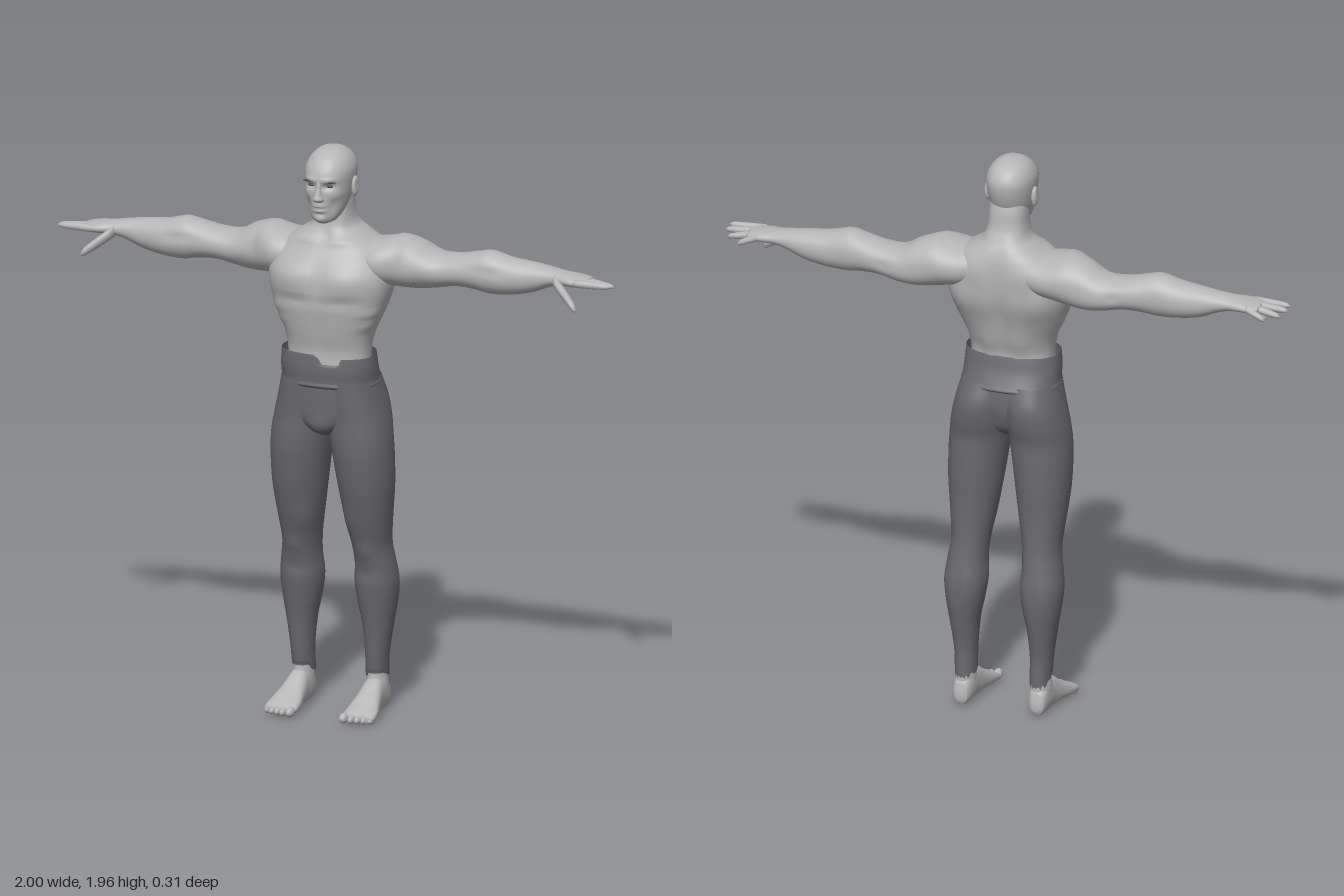
import * as THREE from 'three';

const skin = new THREE.MeshStandardMaterial({ color: 0xb6b6b6, name: 'skin' });
const cloth = new THREE.MeshStandardMaterial({ color: 0x69686d, name: 'trouser cloth', side: THREE.DoubleSide });
const dark = new THREE.MeshStandardMaterial({ color: 0x4a4a4a, name: 'eye and brow' });

// Smooth interpolation of key rows; column 0 is the position along the axis
function sample(keys, t) {
  let i = 0;
  while (i < keys.length - 2 && t > keys[i + 1][0]) i++;
  const a = keys[i], b = keys[i + 1], p = keys[i - 1] || a, n = keys[i + 2] || b;
  const h = b[0] - a[0], s = (t - a[0]) / h;
  return [1, 2, 3, 4].map((c) => {
    const ma = ((b[c] - p[c]) / (b[0] - p[0])) * h, mb = ((n[c] - a[c]) / (n[0] - a[0])) * h;
    return (2 * s ** 3 - 3 * s * s + 1) * a[c] + (s ** 3 - 2 * s * s + s) * ma
      + (3 * s * s - 2 * s ** 3) * b[c] + (s ** 3 - s * s) * mb;
  });
}

// Skin rounded sections along an axis. Keys: [t, uMin, uMax, vMin, vMax],
// where (u, v) is (z, x) for axis y, (y, z) for axis x, (x, y) for axis z.
function loft(axis, keys, { seg = 32, per = 4, pow = 1, caps = true, warp } = {}) {
  const ts = [];
  for (let i = 0; i < keys.length - 1; i++)
    for (let k = 0; k < per; k++) ts.push(keys[i][0] + ((keys[i + 1][0] - keys[i][0]) * k) / per);
  ts.push(keys[keys.length - 1][0]);
  const w = 'xyz'.indexOf(axis), pos = [], idx = [];
  const put = (u, v, t) => {
    const p = [0, 0, 0];
    p[(w + 1) % 3] = u; p[(w + 2) % 3] = v; p[w] = t;
    if (warp) warp(p);
    pos.push(...p);
  };
  const round = (c) => Math.sign(c) * Math.abs(c) ** pow;
  ts.forEach((t) => {
    const [a, b, c, d] = sample(keys, t);
    for (let j = 0; j < seg; j++) {
      const th = (j / seg) * Math.PI * 2;
      put((a + b) / 2 + ((b - a) / 2) * round(Math.cos(th)), (c + d) / 2 + ((d - c) / 2) * round(Math.sin(th)), t);
    }
  });
  for (let i = 0; i < ts.length - 1; i++)
    for (let j = 0; j < seg; j++) {
      const a = i * seg + j, b = i * seg + ((j + 1) % seg);
      idx.push(a, b, b + seg, a, b + seg, a + seg);
    }
  if (caps) for (const end of [0, ts.length - 1]) {
    const [a, b, c, d] = sample(keys, ts[end]), m = pos.length / 3;
    put((a + b) / 2, (c + d) / 2, ts[end]);
    for (let j = 0; j < seg; j++) {
      const p = end * seg + j, q = end * seg + ((j + 1) % seg);
      idx.push(...(end ? [m, p, q] : [m, q, p]));
    }
  }
  const g = new THREE.BufferGeometry();
  g.setAttribute('position', new THREE.Float32BufferAttribute(pos, 3));
  g.setIndex(idx);
  g.computeVertexNormals();
  return g;
}

// Push muscle bulges out or hollows in, mirrored in x. Bump: [x, y, z, rx, ry, rz, amount]
function sculpt(g, bumps) {
  const p = g.attributes.position, n = g.attributes.normal;
  for (let i = 0; i < p.count; i++) {
    const x = p.getX(i), y = p.getY(i), z = p.getZ(i);
    let s = 0;
    for (const [bx, by, bz, rx, ry, rz, amt] of bumps)
      s += amt * Math.exp(-(((Math.abs(x) - bx) / rx) ** 2) - ((y - by) / ry) ** 2 - ((z - bz) / rz) ** 2);
    p.setXYZ(i, x + n.getX(i) * s, y + n.getY(i) * s, z + n.getZ(i) * s);
  }
  g.computeVertexNormals();
  return g;
}

function mirrored(g) {
  const m = g.clone().scale(-1, 1, 1), ix = m.index.array;
  for (let i = 0; i < ix.length; i += 3) [ix[i], ix[i + 1]] = [ix[i + 1], ix[i]];
  m.computeVertexNormals();
  return m;
}

function ball(x, y, z, rx, ry, rz) {
  return new THREE.SphereGeometry(1, 20, 14).scale(rx, ry, rz).translate(x, y, z);
}

// Finger tapering from point a to point b along x, with a rounded tip
function finger(a, b, r) {
  const keys = [[0, 1], [0.4, 0.95], [0.8, 0.8], [0.93, 0.6], [1, 0.15]].map(([s, k]) => {
    const [x, y, z] = a.map((v, i) => v + (b[i] - v) * s);
    return [x, y - r * k, y + r * k, z - r * k, z + r * k];
  });
  return loft('x', keys, { seg: 12, per: 3 });
}

export function createModel() {
  const model = new THREE.Group();
  const add = (name, g, mat) => {
    const m = new THREE.Mesh(g, mat);
    m.name = name;
    model.add(m);
  };
  const pair = (name, g, mat) => {
    add('left' + name, g, mat);
    add('right' + name, mirrored(g), mat);
  };

  // Torso and neck
  const sym = (rows) => rows.map(([y, z0, z1, x]) => [y, z0, z1, -x, x]);
  add('torso', sculpt(loft('y', sym([
    [1.2, -0.075, 0.115, 0.142], [1.27, -0.07, 0.112, 0.143], [1.33, -0.09, 0.125, 0.155], [1.4, -0.115, 0.138, 0.185],
    [1.47, -0.14, 0.147, 0.208], [1.53, -0.148, 0.142, 0.215], [1.58, -0.148, 0.12, 0.2], [1.63, -0.142, 0.09, 0.165],
    [1.665, -0.13, 0.068, 0.112], [1.69, -0.115, 0.053, 0.08], [1.73, -0.095, 0.047, 0.067], [1.79, -0.085, 0.045, 0.063],
    [1.84, -0.07, 0.04, 0.055]]), { seg: 64, per: 5, pow: 0.82 }), [
    [0.095, 1.53, 0.14, 0.065, 0.05, 0.07, 0.012], [0.09, 1.45, 0.15, 0.09, 0.014, 0.05, -0.007],
    [0, 1.52, 0.15, 0.014, 0.08, 0.05, -0.008], [0, 1.34, 0.13, 0.012, 0.08, 0.04, -0.005],
    [0, 1.45, -0.14, 0.02, 0.17, 0.05, -0.014], [0.14, 1.48, -0.13, 0.05, 0.08, 0.07, 0.01],
    [0.1, 1.59, -0.15, 0.05, 0.04, 0.05, 0.008], [0.05, 1.3, -0.08, 0.03, 0.07, 0.04, 0.007],
    [0.17, 1.41, 0.09, 0.04, 0.012, 0.06, 0.006], [0.165, 1.365, 0.09, 0.04, 0.012, 0.06, 0.006],
    [0.06, 1.645, 0.07, 0.06, 0.012, 0.05, 0.007], [0, 1.66, 0.07, 0.018, 0.018, 0.04, -0.01],
    [0.05, 1.73, 0.03, 0.015, 0.06, 0.03, 0.004]]), skin);

  // Head with brow, sockets, cheeks, mouth and chin
  add('head', sculpt(loft('y', sym([
    [1.713, 0.055, 0.094, 0.018], [1.722, 0.02, 0.106, 0.038], [1.75, -0.03, 0.115, 0.056], [1.79, -0.07, 0.119, 0.068],
    [1.83, -0.09, 0.121, 0.076], [1.87, -0.1, 0.122, 0.081], [1.9, -0.098, 0.113, 0.079], [1.93, -0.08, 0.09, 0.065],
    [1.95, -0.05, 0.058, 0.043], [1.957, -0.027, 0.034, 0.026], [1.96, 0.0, 0.008, 0.004]]), { seg: 72, per: 7, pow: 0.92 }), [
    [0.032, 1.845, 0.115, 0.018, 0.011, 0.04, -0.012], [0.03, 1.867, 0.12, 0.025, 0.008, 0.04, 0.005],
    [0.05, 1.815, 0.09, 0.02, 0.018, 0.03, 0.004], [0.045, 1.775, 0.1, 0.014, 0.025, 0.03, -0.005],
    [0, 1.777, 0.12, 0.018, 0.006, 0.03, 0.005], [0, 1.769, 0.12, 0.024, 0.003, 0.03, -0.005],
    [0, 1.761, 0.12, 0.018, 0.005, 0.03, 0.005], [0, 1.748, 0.12, 0.02, 0.006, 0.03, -0.004],
    [0, 1.73, 0.11, 0.018, 0.011, 0.03, 0.006]]), skin);
  add('nose', loft('y', sym([
    [1.79, 0.1, 0.122, 0.01], [1.796, 0.1, 0.136, 0.017], [1.804, 0.1, 0.144, 0.018], [1.816, 0.1, 0.14, 0.013],
    [1.84, 0.1, 0.13, 0.009], [1.865, 0.1, 0.123, 0.01]]), { seg: 20 }), skin);
  pair('Ear', sculpt(ball(0.083, 1.828, 0.003, 0.012, 0.036, 0.02).rotateX(0),
    [[0.095, 1.832, 0.006, 0.02, 0.016, 0.009, -0.006]]), skin);
  pair('Eye', ball(0.032, 1.846, 0.102, 0.013, 0.005, 0.008), dark);
  pair('Brow', ball(0.034, 1.862, 0.115, 0.019, 0.0035, 0.004).rotateY(0.05), dark);

  // Arm from shoulder to palm
  pair('Arm', sculpt(loft('x', [
    [0.06, 1.53, 1.655, -0.135, 0.04], [0.14, 1.505, 1.648, -0.15, 0.075], [0.19, 1.497, 1.655, -0.154, 0.08],
    [0.235, 1.49, 1.663, -0.154, 0.062], [0.3, 1.485, 1.645, -0.15, 0.03], [0.36, 1.492, 1.615, -0.147, 0.014],
    [0.43, 1.505, 1.615, -0.14, 0.01], [0.5, 1.502, 1.63, -0.13, 0.01], [0.55, 1.494, 1.64, -0.124, 0.012],
    [0.62, 1.497, 1.624, -0.12, 0.008], [0.7, 1.512, 1.615, -0.114, -0.005], [0.77, 1.54, 1.605, -0.104, -0.012],
    [0.81, 1.55, 1.598, -0.1, -0.008], [0.85, 1.552, 1.594, -0.103, 0.003], [0.89, 1.554, 1.588, -0.101, 0.001],
    [0.91, 1.56, 1.582, -0.09, -0.012]], { seg: 40, per: 5, pow: 0.93 }), [
    [0.33, 1.56, 0.02, 0.05, 0.03, 0.05, 0.006], [0.3, 1.52, -0.14, 0.07, 0.03, 0.05, 0.005],
    [0.41, 1.56, -0.14, 0.03, 0.02, 0.04, -0.006], [0.27, 1.6, 0.05, 0.015, 0.05, 0.05, -0.005],
    [0.56, 1.58, 0.01, 0.06, 0.012, 0.04, -0.005]]), skin);

  // Fingers and thumb
  [['Index', 0.997, 1.572, -0.006, -0.012], ['Middle', 1.0, 1.566, -0.036, -0.042], ['Ring', 0.982, 1.555, -0.064, -0.072],
    ['Little', 0.938, 1.545, -0.089, -0.097]].forEach(([n, x, y, z0, z1]) =>
    pair(n + 'Finger', finger([0.87, 1.573, z0], [x, y, z1], 0.0135), skin));
  pair('Thumb', finger([0.795, 1.57, -0.02], [0.895, 1.492, 0.036], 0.021), skin);

  // Trouser legs with torn hems
  pair('TrouserLeg', sculpt(loft('y', [
    [0.12, -0.123, -0.022, 0.097, 0.168], [0.2, -0.121, -0.013, 0.097, 0.173], [0.3, -0.135, -0.003, 0.088, 0.187],
    [0.38, -0.148, 0.01, 0.072, 0.2], [0.45, -0.15, 0.02, 0.063, 0.206], [0.52, -0.136, 0.025, 0.067, 0.198],
    [0.58, -0.125, 0.037, 0.063, 0.19], [0.65, -0.12, 0.06, 0.052, 0.195], [0.72, -0.118, 0.08, 0.04, 0.203],
    [0.8, -0.12, 0.1, 0.028, 0.21], [0.9, -0.12, 0.116, 0.014, 0.211], [0.97, -0.12, 0.12, 0.004, 0.207],
    [1.03, -0.133, 0.12, -0.004, 0.198], [1.1, -0.137, 0.124, -0.006, 0.182], [1.17, -0.11, 0.126, -0.006, 0.165]],
  { seg: 44, per: 5, pow: 0.92, caps: false, warp: (p) => {
    if (p[1] < 0.121) p[1] = 0.145 + p[2] * 0.35 + 0.03 * (p[2] + 0.07 > 0.025 ? 1 : 0) + 0.008 * Math.sin(p[0] * 500);
  } }), [
    [0.13, 0.57, 0.035, 0.03, 0.03, 0.05, 0.006], [0.13, 0.49, 0.02, 0.03, 0.02, 0.04, -0.005],
    [0.08, 0.67, 0.06, 0.03, 0.05, 0.05, 0.005], [0.135, 0.42, -0.15, 0.012, 0.08, 0.04, -0.005]]), cloth);

  // Seat of the trousers joining both legs
  add('trouserSeat', sculpt(loft('y', sym([
    [0.975, -0.05, 0.07, 0.03], [0.995, -0.08, 0.1, 0.07], [1.03, -0.1, 0.12, 0.14], [1.09, -0.112, 0.126, 0.172],
    [1.17, -0.105, 0.126, 0.163]]), { seg: 40, pow: 0.85 }),
  [[0, 1.01, 0.11, 0.035, 0.035, 0.05, 0.014]]), cloth);

  // Waistband with a notched front edge
  add('waistband', loft('y', sym([
    [1.148, -0.112, 0.126, 0.164], [1.156, -0.121, 0.134, 0.171], [1.168, -0.113, 0.131, 0.167], [1.21, -0.09, 0.134, 0.166],
    [1.255, -0.076, 0.13, 0.163], [1.264, -0.073, 0.128, 0.162]]), { seg: 96, pow: 0.85, caps: false, warp: (p) => {
    const [x, y, z] = p;
    if (y > 1.225 && z > 0.05 && x > 0.015 && x < 0.08) p[1] = 1.225 + (y - 1.225) * 0.2;
    else if (y > 1.25 && z > 0.05 && x > -0.01 && x < 0.16) p[1] = Math.min(y, 1.255);
  } }), cloth);
  // Flat rim closing the gap between waistband and waist
  add('waistRim', loft('y', sym([[1.215, -0.072, 0.124, 0.158], [1.228, -0.072, 0.122, 0.157]]), { pow: 0.85 }), cloth);

  // Ankles, feet and toes
  pair('Ankle', loft('y', [
    [0.05, -0.122, -0.015, 0.1, 0.168], [0.09, -0.121, -0.016, 0.1, 0.169], [0.13, -0.118, -0.025, 0.104, 0.164],
    [0.22, -0.115, -0.025, 0.106, 0.162]], { seg: 28 }), skin);
  pair('Foot', loft('z', [
    [-0.13, 0.122, 0.148, 0.02, 0.05], [-0.122, 0.109, 0.161, 0.004, 0.085], [-0.085, 0.1, 0.168, 0, 0.12],
    [-0.03, 0.098, 0.172, 0, 0.12], [0.02, 0.092, 0.182, 0, 0.088], [0.07, 0.084, 0.195, 0, 0.058],
    [0.11, 0.083, 0.199, 0, 0.04], [0.128, 0.09, 0.192, 0.004, 0.03]], { seg: 32, pow: 0.85 }), skin);
  [[0.097, 0.134, 0.015, 0.018], [0.123, 0.13, 0.011, 0.015], [0.144, 0.124, 0.011, 0.014], [0.165, 0.117, 0.01, 0.013],
    [0.186, 0.108, 0.011, 0.013]].forEach(([x, z, r, h], i) =>
    pair('Toe' + (i + 1), ball(x, h, z, r, h, 0.024), skin));

  return model;
}
